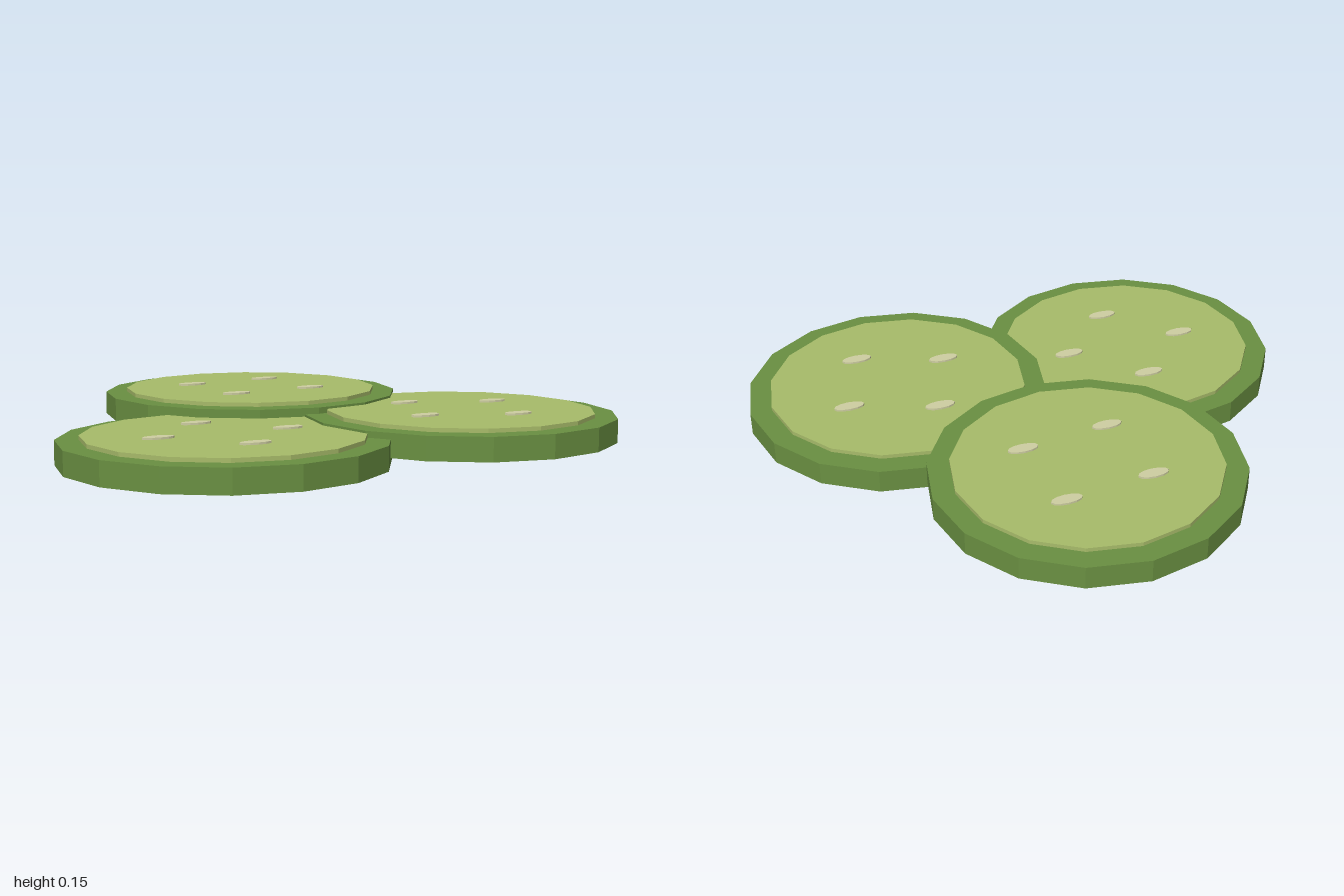
import * as THREE from 'three';

const mat = (color) => {
  const m = new THREE.MeshStandardMaterial({ flatShading: true });
  m.color.set(color);
  return m;
};

export function createModel() {
  const group = new THREE.Group();
  const rindMat = mat(0x6a9042), fleshMat = mat(0xa8bc6a), seedMat = mat(0xcfcfa2);

  const rindGeo = new THREE.CylinderGeometry(0.546, 0.546, 0.082, 16);
  const fleshGeo = new THREE.CylinderGeometry(0.468, 0.468, 0.014, 16);
  const seedGeo = new THREE.CylinderGeometry(0.055, 0.055, 0.007, 12).scale(1, 1, 0.42);

  // One slice: rind disc, raised flesh disc, four seeds in a turned ring
  const addSlice = (name, x, y, z, turn) => {
    const slice = new THREE.Group();
    slice.name = name;
    const add = (geo, material, part, px, py, pz) => {
      const mesh = new THREE.Mesh(geo, material);
      mesh.name = part;
      mesh.position.set(px, py, pz);
      slice.add(mesh);
    };
    add(rindGeo, rindMat, 'rind', 0, 0.041, 0);
    add(fleshGeo, fleshMat, 'flesh', 0, 0.089, 0);
    for (let i = 0; i < 4; i++) {
      const a = turn + (i * Math.PI) / 2;
      add(seedGeo, seedMat, 'seed', 0.23 * Math.cos(a), 0.0995, 0.23 * Math.sin(a));
    }
    slice.position.set(x, y, z);
    group.add(slice);
  };

  // Three overlapping slices, each slightly higher than the last
  addSlice('rightSlice', -0.454, 0, 0.372, 0);
  addSlice('leftSlice', 0.454, 0.022, 0.372, 1.12);
  addSlice('backSlice', 0, 0.044, -0.372, 2.25);
  return group;
}
